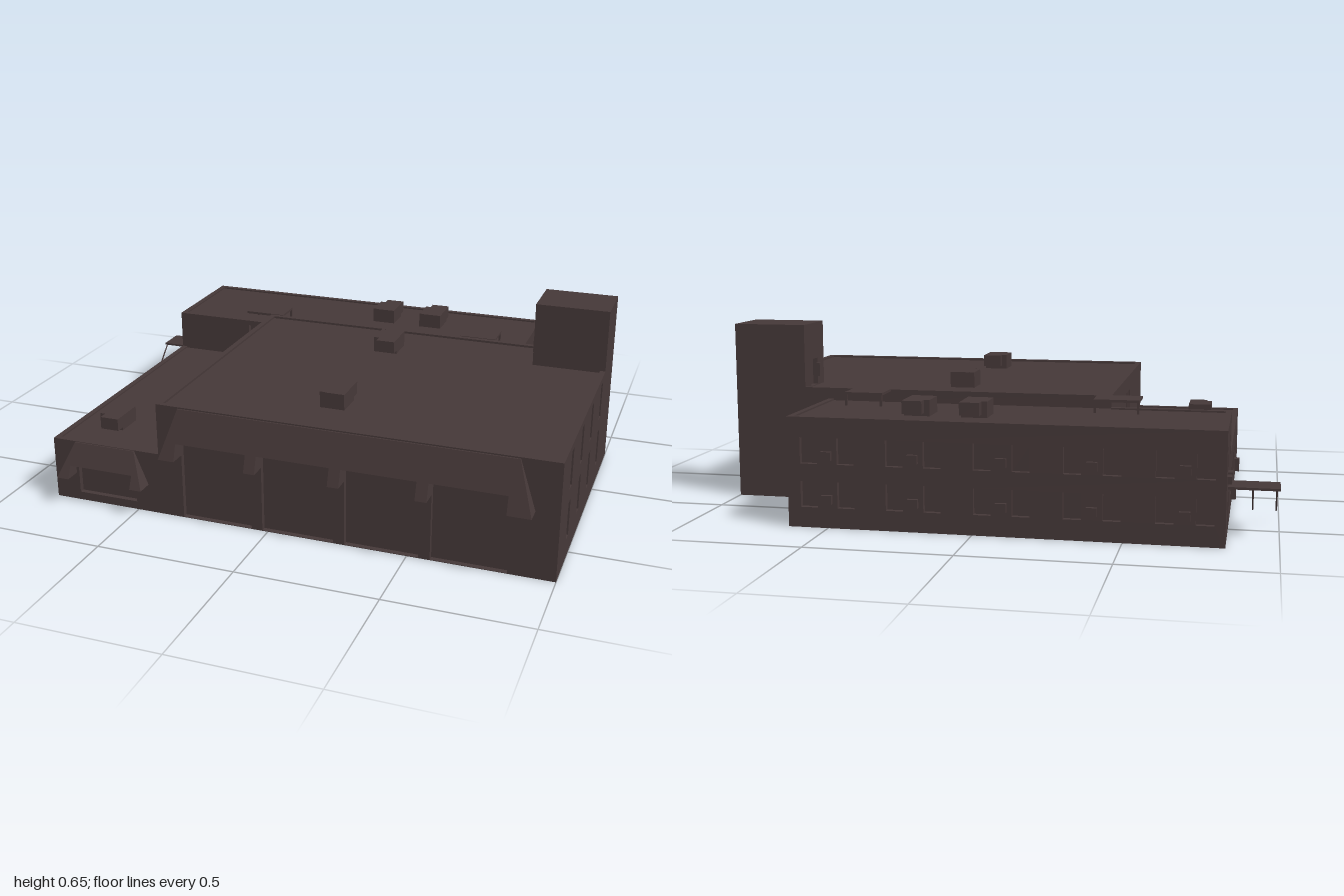
import * as THREE from 'three';

const brown = new THREE.MeshStandardMaterial({ color: 0x453838, side: THREE.DoubleSide });
brown.name = 'dark brown';
const T = 0.02; // wall thickness and depth of recesses
const F = 0.71; // z of the front walls

export function createModel() {
  const root = new THREE.Group();
  root.name = 'building';

  function add(name, geometry, parent = root) {
    const m = new THREE.Mesh(geometry, brown);
    m.name = name;
    parent.add(m);
    return m;
  }

  // box given by its limits
  function box(name, x0, x1, y0, y1, z0, z1) {
    const g = new THREE.BoxGeometry(x1 - x0, y1 - y0, z1 - z0);
    g.translate((x0 + x1) / 2, (y0 + y1) / 2, (z0 + z1) / 2);
    return add(name, g);
  }

  // wall running from a to b, outside on its +z side, with recessed openings [u, y, width, height]
  function wall(name, [ax, az], [bx, bz], y0, y1, openings = []) {
    const group = new THREE.Group();
    group.name = name;
    const len = Math.hypot(bx - ax, bz - az);
    const s = new THREE.Shape();
    s.moveTo(0, y0).lineTo(len, y0).lineTo(len, y1).lineTo(0, y1).closePath();
    for (const [u, y, w, h] of openings) {
      const p = new THREE.Path();
      p.moveTo(u - w / 2, y).lineTo(u - w / 2, y + h).lineTo(u + w / 2, y + h).lineTo(u + w / 2, y).closePath();
      s.holes.push(p);
      const pane = add('pane', new THREE.PlaneGeometry(w, h), group);
      pane.position.set(u, y + h / 2, -T + 0.001);
    }
    const g = new THREE.ExtrudeGeometry(s, { depth: T, bevelEnabled: false });
    g.translate(0, 0, -T);
    add('wallPanel', g, group);
    group.position.set(ax, 0, az);
    group.rotation.y = Math.atan2(-(bz - az), bx - ax);
    root.add(group);
  }

  // sloping front awning, notched above each opening
  function awning(name, x0, x1, inset, bottom, top, notchTop, notches) {
    const s = new THREE.Shape();
    s.moveTo(x0 + inset, top).lineTo(x0, bottom);
    for (const [a, b] of notches) {
      s.lineTo(a, bottom).lineTo(a, notchTop).lineTo(b, notchTop).lineTo(b, bottom);
    }
    s.lineTo(x1, bottom).lineTo(x1 - inset, top).closePath();
    const g = new THREE.ExtrudeGeometry(s, { depth: 1, bevelEnabled: false });
    const p = g.attributes.position;
    for (let i = 0; i < p.count; i++) {
      const slope = (top - p.getY(i)) / (top - bottom);
      p.setZ(i, p.getZ(i) > 0.5 ? F + 0.005 + 0.055 * slope : F - 0.005);
    }
    g.computeVertexNormals();
    add(name, g);
  }

  // main hall: four garage doors, tall side windows
  const doors = [[-0.32, -0.06], [-0.02, 0.24], [0.28, 0.54], [0.58, 0.84]];
  wall('hallFront', [-0.41, F], [1, F], 0, 0.42,
    doors.map(([a, b]) => [(a + b) / 2 + 0.41, 0.002, b - a, 0.296]));
  const tall = [];
  for (const z of [0.54, 0.34, 0.14, -0.065]) {
    for (const y of [0.075, 0.26]) tall.push([F - z, y, 0.04, 0.135]);
  }
  wall('hallRight', [1, F], [1, -0.33], 0, 0.42, tall);
  wall('hallBackLower', [1, -0.33], [0.64, -0.33], 0, 0.42);
  wall('hallBackUpper', [0.64, -0.33], [-0.41, -0.33], 0.37, 0.42);
  wall('hallLeft', [-0.41, -0.33], [-0.41, F], 0.22, 0.42,
    [[0.5, 0.27, 0.05, 0.09], [0.58, 0.27, 0.05, 0.09]]);
  box('hallRoof', -0.4, 0.99, 0.4, 0.412, -0.32, F - 0.01);
  awning('hallAwning', -0.38, 0.92, 0.055, 0.24, 0.415, 0.3, doors);

  // back wing: five groups of paired windows on two floors, with a wall unit between each pair
  const backWindows = [];
  for (const x of [-0.7, -0.4, -0.1, 0.2, 0.5]) {
    for (const y of [0.07, 0.22]) {
      for (const side of [-1, 1]) backWindows.push([0.64 - x + side * 0.065, y, 0.06, 0.09]);
      box('wallUnit', x - 0.018, x + 0.018, y + 0.015, y + 0.045, -0.765, -0.745);
    }
  }
  wall('wingBack', [0.64, -0.75], [-0.83, -0.75], 0, 0.38, backWindows);
  wall('wingRight', [0.64, -0.33], [0.64, -0.75], 0, 0.38,
    [[0.14, 0.295, 0.045, 0.055], [0.28, 0.16, 0.045, 0.055], [0.28, 0.075, 0.045, 0.05]]);
  wall('wingLeft', [-0.83, -0.75], [-0.83, -0.33], 0, 0.38,
    [[0.2, 0.002, 0.08, 0.14], [0.09, 0.24, 0.05, 0.07], [0.32, 0.24, 0.05, 0.07]]);
  wall('wingFront', [-0.83, -0.33], [-0.41, -0.33], 0.22, 0.38, [[0.355, 0.24, 0.08, 0.12]]);
  box('wingRoof', -0.82, 0.63, 0.362, 0.374, -0.74, -0.33);

  // low side wing
  wall('sideFront', [-0.83, F], [-0.41, F], 0, 0.23, [[0.21, 0.03, 0.23, 0.115]]);
  wall('sideLeft', [-0.83, -0.33], [-0.83, F], 0, 0.23,
    [0.58, 0.35, 0.15, -0.08, -0.26].map((z) => [z + 0.33, 0.07, 0.08, 0.09]));
  box('sideRoof', -0.82, -0.41, 0.212, 0.224, -0.33, F - 0.01);
  awning('sideAwning', -0.79, -0.455, 0.05, 0.105, 0.228, 0.15, [[-0.745, -0.5]]);

  // small wall units on the end walls
  for (const z of [-0.18, 0.33]) box('wallUnit', -0.848, -0.82, 0.035, 0.085, z - 0.018, z + 0.018);
  for (const z of [-0.69, -0.62]) box('wallUnit', -0.845, -0.82, 0.2, 0.225, z - 0.02, z + 0.02);
  for (const z of [-0.48, -0.62]) box('wallUnit', 0.63, 0.652, 0.24, 0.265, z - 0.02, z + 0.02);

  // tower
  wall('towerFront', [0.73, -0.13], [1, -0.13], 0.4, 0.65);
  wall('towerRight', [1, -0.13], [1, -0.33], 0.4, 0.65);
  wall('towerBack', [1, -0.33], [0.73, -0.33], 0.4, 0.65);
  wall('towerLeft', [0.73, -0.33], [0.73, -0.13], 0.4, 0.65, [[0.1, 0.415, 0.07, 0.1]]);
  box('towerRoof', 0.735, 0.995, 0.64, 0.65, -0.325, -0.135);
  box('towerLamp', 0.72, 0.735, 0.445, 0.495, -0.2, -0.18);

  // rooftop units: a body with a narrower hood
  for (const [x, y, z, dir] of [[0.17, 0.41, -0.105, 1], [0.17, 0.41, 0.46, -1],
    [0.02, 0.37, -0.585, -1], [0.22, 0.37, -0.585, -1], [-0.68, 0.22, 0.52, 1]]) {
    const c = z - dir * 0.015;
    box('roofUnit', x - 0.045, x + 0.045, y, y + 0.06, c - 0.05, c + 0.05);
    box('roofUnitHood', x - 0.025, x + 0.045, y + 0.015, y + 0.06, z - 0.068, z + 0.068);
  }

  // thin covers behind the hall roof
  for (const [a, b] of [[-0.52, -0.36], [0.4, 0.54]]) {
    box('roofCover', a, b, 0.413, 0.422, -0.44, -0.33);
    for (const x of [a + 0.005, b - 0.005]) box('coverPost', x - 0.004, x + 0.004, 0.37, 0.415, -0.44, -0.432);
  }

  // side entrance canopy with slanted struts
  box('canopy', -1, -0.825, 0.16, 0.168, -0.6, -0.49);
  for (const x of [-0.99, -0.91]) {
    const strut = new THREE.LineCurve3(new THREE.Vector3(x, 0.163, -0.49), new THREE.Vector3(x, 0.04, -0.36));
    add('canopyStrut', new THREE.TubeGeometry(strut, 1, 0.003, 4));
  }
  return root;
}
